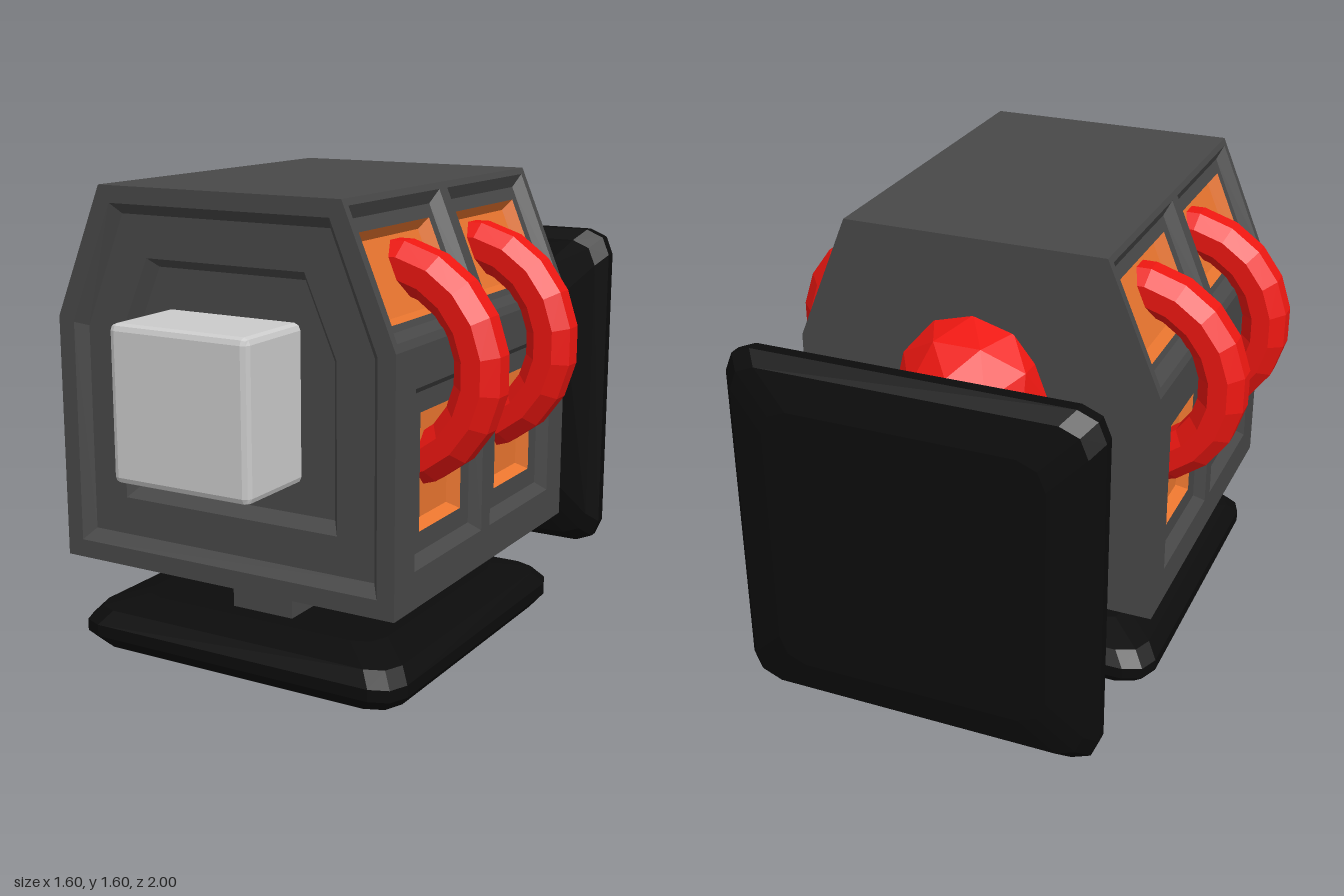
import * as THREE from 'three';
import { RoundedBoxGeometry } from 'three/addons/geometries/RoundedBoxGeometry.js';

const mat = (color) => new THREE.MeshStandardMaterial({ color, flatShading: true });

export function createModel() {
  const model = new THREE.Group();
  const dark = mat(0x484848), black = mat(0x0c0c0c), orange = mat(0xea762f);
  const red = mat(0xee1711), grey = mat(0xcccccc);

  const add = (name, geo, material, x = 0, y = 0, z = 0) => {
    const mesh = new THREE.Mesh(geo, material);
    mesh.name = name;
    mesh.position.set(x, y, z);
    model.add(mesh);
    return mesh;
  };
  // Box given by its limits
  const block = (name, x0, x1, y0, y1, z0, z1, material) =>
    add(name, new THREE.BoxGeometry(x1 - x0, y1 - y0, z1 - z0), material,
      (x0 + x1) / 2, (y0 + y1) / 2, (z0 + z1) / 2);

  // Joins successive loops of corners with strips and closes the last one
  const terrace = (loops, cap = true) => {
    const p = [];
    const tri = (...corners) => corners.forEach((c) => p.push(...c));
    for (let k = 0; k + 1 < loops.length; k++) {
      const o = loops[k], n = loops[k + 1];
      o.forEach((a, i) => {
        const j = (i + 1) % o.length;
        tri(a, o[j], n[j]);
        tri(a, n[j], n[i]);
      });
    }
    const last = loops[loops.length - 1];
    if (cap) for (let i = 1; i + 1 < last.length; i++) tri(last[0], last[i], last[i + 1]);
    const geo = new THREE.BufferGeometry();
    geo.setAttribute('position', new THREE.Float32BufferAttribute(p, 3));
    geo.computeVertexNormals();
    return geo;
  };

  // Body: six-sided section, stepped recess in front, plain back, top and bottom
  const zBack = -0.46, zFront = 0.79;
  const hex = (w, y0, y1, wTop, y2, z) => [
    [-w, y0, z], [w, y0, z], [w, y1, z], [wTop, y2, z], [-wTop, y2, z], [-w, y1, z]];
  add('frontPanel', terrace([
    hex(0.62, 0.36, 1.17, 0.44, 1.6, zFront),
    hex(0.56, 0.42, 1.155, 0.4, 1.545, zFront),
    hex(0.53, 0.455, 1.14, 0.38, 1.51, zFront - 0.04),
    hex(0.4, 0.58, 1.12, 0.29, 1.375, zFront - 0.04),
    hex(0.37, 0.615, 1.11, 0.27, 1.345, zFront - 0.08),
  ]), dark);
  add('backPanel', terrace([hex(0.62, 0.36, 1.17, 0.44, 1.6, zBack).reverse()]), dark);
  add('topPanel', terrace([[[-0.44, 1.6, zFront], [0.44, 1.6, zFront],
    [0.44, 1.6, zBack], [-0.44, 1.6, zBack]]]), dark);
  add('bottomPanel', terrace([[[-0.62, 0.36, zBack], [0.62, 0.36, zBack],
    [0.62, 0.36, zFront], [-0.62, 0.36, zFront]]]), dark);

  // Side wall from (x0, y0) up to (x1, y1), with framed windows [z0, z1, y0, y1]
  const wall = (s, x0, y0, x1, y1, windows) => {
    const len = Math.hypot(x1 - x0, y1 - y0);
    const nx = (y1 - y0) / len, ny = (x0 - x1) / len;
    const at = (u, y, d) => {
      const x = x0 + (x1 - x0) * (y - y0) / (y1 - y0);
      return [s * (x - nx * d), y - ny * d, -s * u];
    };
    const rect = ([z0, z1, a, b], inset = 0) => {
      const [u0, u1] = [-s * z0, -s * z1].sort((p, q) => p - q);
      return [[u0 + inset, a + inset], [u1 - inset, a + inset],
        [u1 - inset, b - inset], [u0 + inset, b - inset]];
    };
    const loop = (r, inset, d) => rect(r, inset).map(([u, y]) => at(u, y, d));
    const vecs = (r) => rect(r).map(([u, y]) => new THREE.Vector2(u, y));

    const shape = new THREE.Shape(vecs([zBack, zFront, y0, y1]));
    windows.forEach(({ frame }) => shape.holes.push(new THREE.Path(vecs(frame))));
    const geo = new THREE.ShapeGeometry(shape);
    const pos = geo.attributes.position;
    for (let i = 0; i < pos.count; i++) pos.setXYZ(i, ...at(pos.getX(i), pos.getY(i), 0));
    geo.computeVertexNormals();
    add('sideWall', geo, dark);

    windows.forEach(({ frame, pane }) => {
      add('windowFrame', terrace([loop(frame, 0, 0), loop(frame, 0.03, 0.035),
        loop(pane, 0, 0.035)], false), dark);
      add('windowPane', terrace([loop(pane, 0, 0.035), loop(pane, 0.02, 0.075)]), orange);
    });
  };

  const handleProfile = [];
  for (let i = 0; i <= 8; i++) {
    const a = (i + 0.5) * Math.PI / 4;
    handleProfile.push(new THREE.Vector2(0.315 + 0.084 * Math.cos(a), 0.084 * Math.sin(a)));
  }

  for (const s of [1, -1]) {
    wall(s, 0.62, 0.36, 0.62, 1.17, [
      { frame: [0.2, 0.665, 0.48, 1.045], pane: [0.29, 0.57, 0.575, 0.95] },
      { frame: [-0.335, 0.137, 0.48, 1.045], pane: [-0.245, 0.035, 0.575, 0.95] },
    ]);
    wall(s, 0.62, 1.17, 0.44, 1.6, [
      { frame: [0.197, 0.764, 1.195, 1.58], pane: [0.26, 0.7, 1.245, 1.51] },
      { frame: [-0.432, 0.142, 1.195, 1.58], pane: [-0.367, 0.072, 1.245, 1.51] },
    ]);
    // Ring handles, half sunk in the body
    for (const z of [0.437, -0.1]) {
      const ring = new THREE.LatheGeometry(handleProfile, 20, Math.PI / 20);
      ring.rotateX(Math.PI / 2);
      add(s > 0 ? 'leftHandle' : 'rightHandle', ring, red, s * 0.41, 1.06, z);
    }
  }

  // Block on the front and faceted dome on the back
  add('frontBlock', new RoundedBoxGeometry(0.5, 0.5, 0.32, 1, 0.022), grey, 0, 0.963, 0.84);
  add('rearDome', new THREE.IcosahedronGeometry(0.258, 1), red, 0, 1.085, -0.455);

  // Cushion: square slab with clipped corners and tapering rim
  const cushion = () => {
    const square = (h, y) => {
      const pts = [];
      for (let q = 0; q < 4; q++) {
        for (const a of [0, 0.5, 1]) {
          const t = (q + a) * Math.PI / 2, m = (q + 0.5) * Math.PI / 2;
          const c = (h - 0.09) * Math.SQRT2;
          pts.push([c * Math.cos(m) + 0.09 * Math.cos(t), y,
            -c * Math.sin(m) - 0.09 * Math.sin(t)]);
        }
      }
      return pts;
    };
    return terrace([
      square(0.46, -0.095).map(() => [0, -0.095, 0]),
      square(0.46, -0.095), square(0.575, -0.065), square(0.612, -0.02),
      square(0.612, 0.02), square(0.575, 0.065), square(0.46, 0.095)]);
  };
  add('footCushion', cushion(), black, 0, 0.1, 0.165);
  add('backCushion', cushion(), black, 0, 0.73, -0.905).rotation.x = Math.PI / 2;

  // Struts carrying the cushions
  block('footStrut', -0.115, 0.115, 0.17, 0.37, 0.3, 0.56, dark);
  block('footStrut', -0.115, 0.115, 0.17, 0.37, -0.225, 0.035, dark);
  block('backStrut', -0.33, -0.19, 0.67, 0.815, -0.83, -0.45, dark);
  block('backStrut', 0.21, 0.36, 0.67, 0.815, -0.83, -0.45, dark);

  return model;
}
